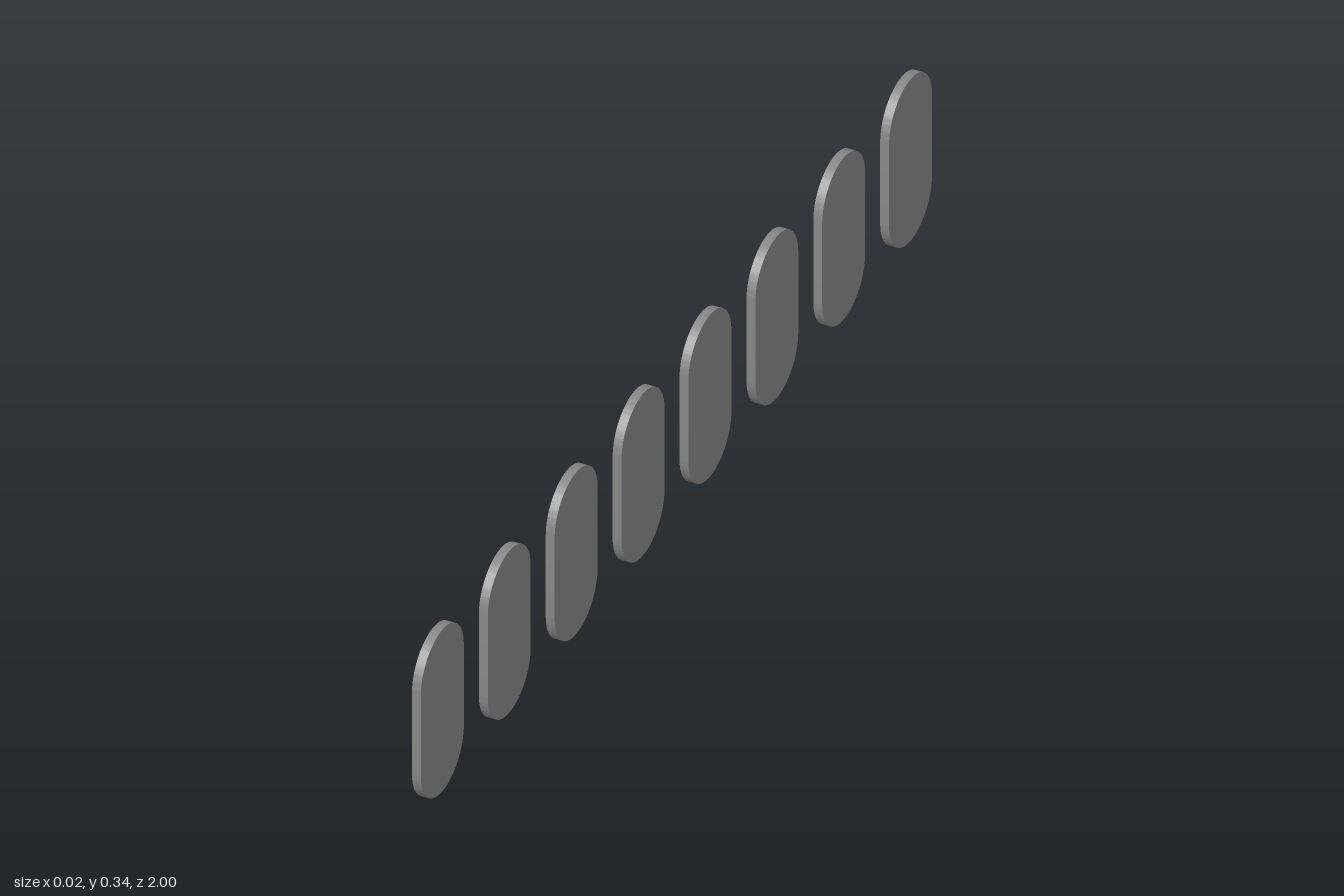
import * as THREE from 'three';
import { toCreasedNormals } from 'three/addons/utils/BufferGeometryUtils.js';

const COUNT = 8;
const WIDTH = 0.168;
const HEIGHT = 0.337;
const THICKNESS = 0.017;

// Upright plate with fully rounded ends, facing sideways (thin along x)
function plateGeometry() {
  const r = WIDTH / 2;
  const outline = new THREE.Shape();
  outline.absarc(0, r, r, Math.PI, Math.PI * 2, false);
  outline.absarc(0, HEIGHT - r, r, 0, Math.PI, false);
  outline.closePath();
  const geometry = new THREE.ExtrudeGeometry(outline, {
    depth: THICKNESS,
    bevelEnabled: false,
    curveSegments: 24,
  });
  geometry.translate(0, 0, -THICKNESS / 2);
  geometry.rotateY(Math.PI / 2);
  return toCreasedNormals(geometry, Math.PI / 5);
}

export function createModel() {
  const model = new THREE.Group();
  model.name = 'plateRow';
  const material = new THREE.MeshStandardMaterial({ color: 0x878787 });
  const geometry = plateGeometry();

  // Evenly spaced row along z
  const spacing = (2 - WIDTH) / (COUNT - 1);
  for (let i = 0; i < COUNT; i++) {
    const plate = new THREE.Mesh(geometry, material);
    plate.name = `roundedPlate${i + 1}`;
    plate.position.z = (i - (COUNT - 1) / 2) * spacing;
    model.add(plate);
  }
  return model;
}
